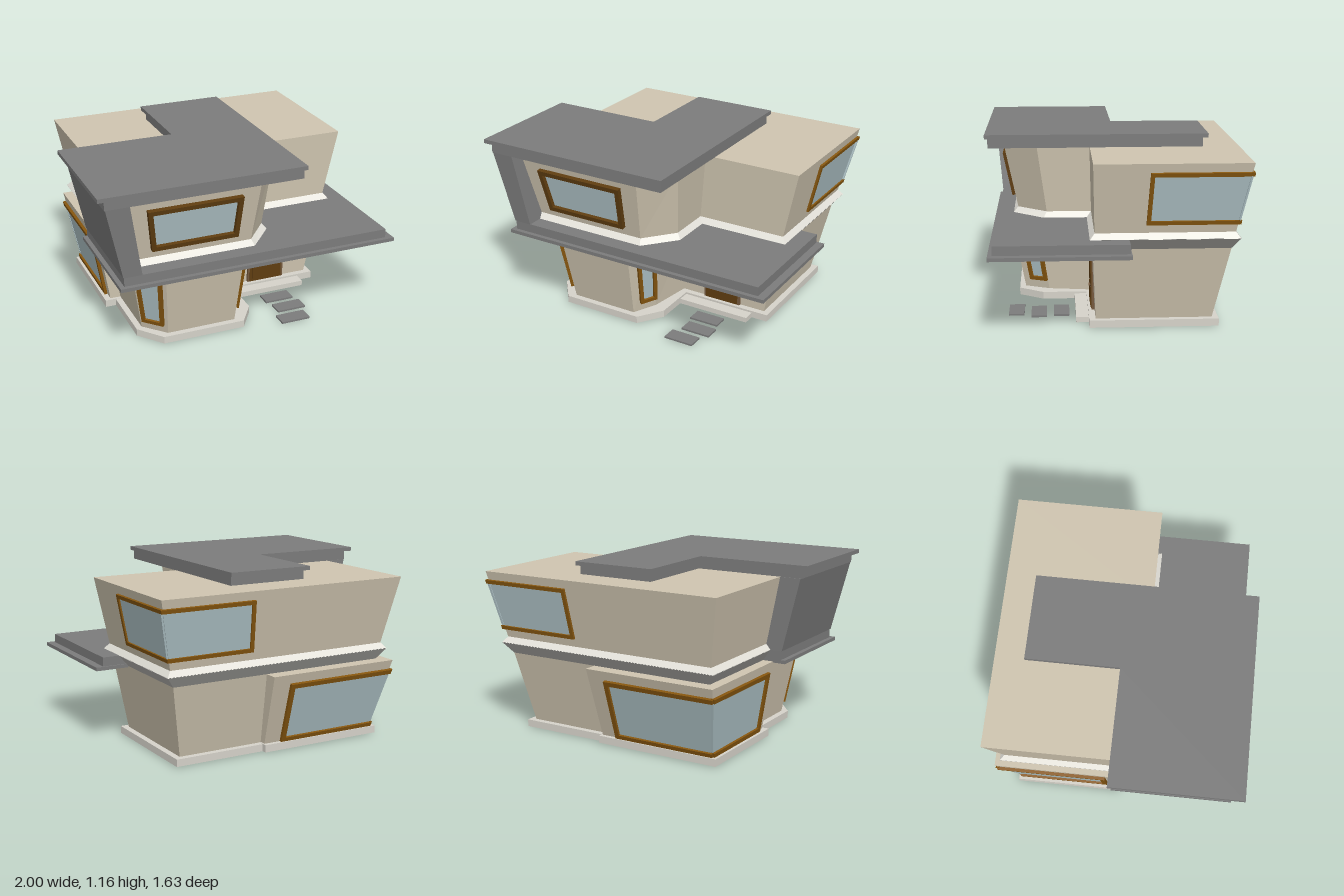
import * as THREE from 'three';

const V = (x, y, z) => new THREE.Vector3(x, y, z);
const mat = (color) => new THREE.MeshStandardMaterial({ color, flatShading: true });
const wallMat = mat(0xcfc5b0), baseMat = mat(0xd6d3ca), lipMat = mat(0xe6e4dc), bandMat = mat(0xb4b3ae);
const roofMat = mat(0x7c7c7c), frameMat = mat(0x86560f), doorMat = mat(0x5f3d10), trimMat = mat(0x74583c);
const glassMat = mat(0xb0c4c8);

function normalOf(ring) {
  const n = V(0, 0, 0);
  ring.forEach((p, i) => n.add(p.clone().cross(ring[(i + 1) % ring.length])));
  return n.normalize();
}

// Closed solid between two matching planar rings
function loft(name, material, a, b) {
  if (normalOf(a).dot(b[0].clone().sub(a[0])) < 0) { a = [...a].reverse(); b = [...b].reverse(); }
  const pos = [], tri = (...ps) => ps.forEach((p) => pos.push(p.x, p.y, p.z));
  a.forEach((p, i) => {
    const j = (i + 1) % a.length;
    tri(p, a[j], b[j]);
    tri(p, b[j], b[i]);
  });
  const n = normalOf(a), u = a[1].clone().sub(a[0]).normalize(), v = n.clone().cross(u);
  const flat = a.map((p) => new THREE.Vector2(p.dot(u), p.dot(v)));
  for (const [i, j, k] of THREE.ShapeUtils.triangulateShape(flat, [])) {
    tri(a[k], a[j], a[i]);
    tri(b[i], b[j], b[k]);
  }
  const g = new THREE.BufferGeometry();
  g.setAttribute('position', new THREE.Float32BufferAttribute(pos, 3));
  g.computeVertexNormals();
  const mesh = new THREE.Mesh(g, material);
  mesh.name = name;
  return mesh;
}

const ringAt = (plan, y) => plan.map(([x, z]) => V(x, y, z));
const storey = (name, m, planA, yA, planB, yB) => loft(name, m, ringAt(planA, yA), ringAt(planB, yB));
const slab = (name, m, plan, y0, y1) => storey(name, m, plan, y0, plan, y1);
const rect = (x0, x1, z0, z1) => [[x0, z0], [x1, z0], [x1, z1], [x0, z1]];

// Prism raised from a flat quad along its outward normal
function raised(name, m, quad, from, to) {
  const n = normalOf(quad).negate();
  const off = (d) => quad.map((p) => p.clone().addScaledVector(n, d));
  return loft(name, m, off(from), off(to));
}

// Quad on a leaning wall between plan edges; s runs left to right seen from outside
function onWall(lower, upper, i, j, s0, s1, y0, y1) {
  const at = (s, y) => {
    const t = (y - lower.y) / (upper.y - lower.y);
    const p = (k) => V(lower.plan[k][0], lower.y, lower.plan[k][1]).lerp(V(upper.plan[k][0], upper.y, upper.plan[k][1]), t);
    const a = p(i), b = p(j);
    return a.add(b.sub(a).multiplyScalar(s));
  };
  return [at(s0, y1), at(s1, y1), at(s1, y0), at(s0, y0)];
}

// Framed pane; edges are 0 top, 1 right, 2 bottom, 3 left, and 'open' has no bar
function framedWindow(name, quad, { w = 0.025, d = 0.02, open = -1, material = frameMat } = {}) {
  const group = new THREE.Group();
  group.name = name;
  const inset = (e) => (e === open ? 0 : w);
  const inner = quad.map((p, i) => {
    const prev = (i + 3) % 4, next = (i + 1) % 4;
    const toNext = quad[next].clone().sub(p).normalize(), toPrev = quad[prev].clone().sub(p).normalize();
    return p.clone().addScaledVector(toNext, inset(prev)).addScaledVector(toPrev, inset(i));
  });
  for (let e = 0; e < 4; e++) {
    if (e === open) continue;
    const f = (e + 1) % 4;
    group.add(raised('frameBar', material, [quad[e], quad[f], inner[f], inner[e]], -0.005, d));
  }
  group.add(raised('glass', glassMat, inner, -0.005, 0.005));
  return group;
}

export function createModel() {
  const house = new THREE.Group();
  house.name = 'house';
  const add = (...m) => house.add(...m);

  // Foundation, doorstep and path
  add(slab('foundation', baseMat, [[.73, .17], [.73, -.64], [-.67, -.64], [-.67, .46], [-.54, .62], [.01, .62], [.12, .46], [.12, .17]], .003, .05));
  add(slab('bayFoundation', baseMat, rect(-.74, .12, -.675, .03), .004, .052));
  add(slab('doorstep', baseMat, rect(.1, .62, .12, .25), .003, .037));
  [[.36, .63], [.4, .485], [.38, .34]].forEach(([x, z]) =>
    add(slab('steppingStone', roofMat, rect(x - .1, x + .1, z - .05, z + .05), 0, .012)));
  add(slab('undersideStrip', roofMat, rect(0, .1, -.63, -.1), 0, .01));

  // Ground floor, walls leaning outwards
  const g0 = { y: .05, plan: [[.69, .13], [.69, -.6], [-.63, -.6], [-.63, .44], [-.5, .58], [-.04, .58], [.035, .42], [.08, .13]] };
  const g1 = { y: .52, plan: [[.78, .15], [.78, -.7], [-.71, -.7], [-.71, .5], [-.54, .67], [-.02, .67], [.075, .49], [.12, .15]] };
  add(storey('groundFloorWalls', wallMat, g0.plan, g0.y, g1.plan, g1.y));
  add(framedWindow('leftCornerWindow', onWall(g0, g1, 3, 4, .1, .88, .11, .465)));
  add(framedWindow('rightCornerWindow', onWall(g0, g1, 5, 6, .3, 1, .11, .465)));

  // Glazed bay around the rear corner
  const b0 = { y: .05, plan: [[.11, -.5], [.11, -.645], [-.7, -.645], [-.7, .01], [-.55, .01]] };
  const b1 = { y: .52, plan: [[.13, -.5], [.13, -.79], [-.78, -.79], [-.78, .02], [-.55, .02]] };
  add(storey('bayWalls', wallMat, b0.plan, b0.y, b1.plan, b1.y));
  add(framedWindow('bayBackWindow', onWall(b0, b1, 1, 2, .14, 1.01, .055, .46), { w: .03, open: 1 }));
  add(framedWindow('baySideWindow', onWall(b0, b1, 2, 3, -.01, .9, .055, .46), { w: .03, open: 3 }));

  // Front door
  const door = new THREE.Group();
  door.name = 'frontDoor';
  const face = (x0, x1, y0, y1) => [V(x0, y1, .135), V(x1, y1, .135), V(x1, y0, .135), V(x0, y0, .135)];
  door.add(raised('doorFrame', trimMat, face(.25, .515, .052, .43), -.01, .014));
  door.add(raised('doorLeaf', doorMat, face(.265, .5, .055, .415), 0, .018));
  door.add(raised('middleRail', trimMat, face(.275, .49, .194, .206), 0, .021));
  door.add(raised('upperPanel', doorMat, face(.285, .48, .215, .395), 0, .022));
  door.add(raised('lowerPanel', doorMat, face(.285, .48, .07, .185), 0, .022));
  door.add(raised('handle', trimMat, face(.43, .47, .197, .205), 0, .032));
  add(door);

  // Band between the storeys and the front canopy
  add(storey('floorBand', bandMat, rect(-.71, .78, -.7, .1), .52, rect(-.76, .84, -.75, .1), .595));
  const canopy = (x0, x1, zf, zb) => [[x0, zf], [x1, zf], [x1, zb], [-.7, zb], [-.7, -.01], [x0, -.01]];
  add(slab('canopyEdge', roofMat, canopy(-.865, 1, .78, -.08), .513, .536));
  add(slab('canopyTop', roofMat, canopy(-.835, .95, .752, -.07), .536, .594));

  // Upper floor on its sloping sill
  const u0 = { y: .63, plan: [[.81, .14], [.81, -.72], [-.73, -.72], [-.73, .62], [.05, .62], [.21, .43], [.21, .14]] };
  const u1 = { y: 1.07, plan: [[.905, .15], [.905, -.81], [-.81, -.81], [-.81, .71], [.08, .71], [.25, .49], [.25, .15]] };
  const sill = [[.84, .17], [.84, -.75], [-.76, -.75], [-.76, .65], [.065, .65], [.24, .45], [.24, .17]];
  add(storey('sill', lipMat, sill, .593, u0.plan, .63));
  add(storey('upperFloorWalls', wallMat, u0.plan, u0.y, u1.plan, u1.y));
  add(framedWindow('frontWindow', onWall(u0, u1, 3, 4, .15, .865, .69, .98), { w: .03, d: .03, material: doorMat }));
  add(framedWindow('upperSideWindow', onWall(u0, u1, 0, 1, .36, 1.01, .685, 1.015), { open: 1, d: .015 }));
  add(framedWindow('upperBackWindow', onWall(u0, u1, 1, 2, -.01, .365, .685, 1.015), { open: 3, d: .015 }));

  // Leaning wing wall on the left
  add(storey('wingWall', roofMat, rect(-.84, -.72, -.01, .755), .594, rect(-.95, -.8, .005, .8), 1.07));

  // L-shaped roof: recessed fascia and cap
  const ell = (x0, x1, xm, zf, zm, zb) => [[x0, zf], [x1, zf], [x1, zb], [xm, zb], [xm, zm], [x0, zm]];
  add(slab('roofFascia', roofMat, ell(-.955, .315, -.215, .8, .01, -.575), 1.069, 1.13));
  add(slab('roofCap', roofMat, ell(-1, .33, -.24, .82, -.01, -.61), 1.13, 1.156));
  return house;
}
